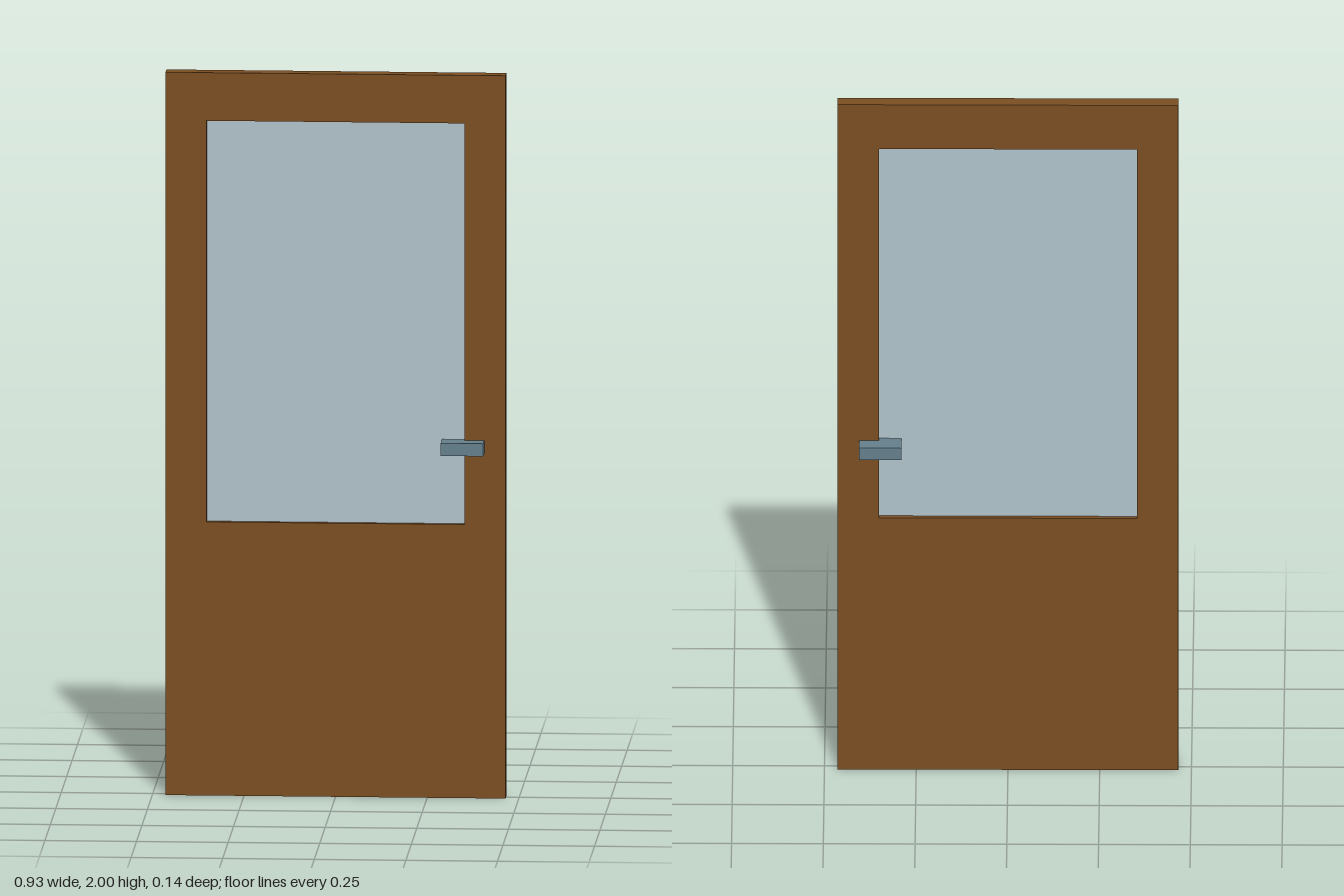
import * as THREE from 'three';

const paint = (name, color) => new THREE.MeshStandardMaterial({ name, color });

// Adds a box given by its lower and upper corners
function addBox(group, name, material, min, max) {
  const size = max.map((v, i) => v - min[i]);
  const mesh = new THREE.Mesh(new THREE.BoxGeometry(...size), material);
  mesh.position.set(...max.map((v, i) => (v + min[i]) / 2));
  mesh.name = name;
  group.add(mesh);
}

// Corner points of a rectangle, counterclockwise
const rect = (x, y0, y1) => [[-x, y0], [x, y0], [x, y1], [-x, y1]].map((p) => new THREE.Vector2(...p));

export function createModel() {
  const door = new THREE.Group();
  door.name = 'door';
  const wood = paint('brown wood', 0x7a4e22);
  const glass = paint('pale blue glass', 0xb0c2ca);
  const metal = paint('grey blue metal', 0x647f8c);

  const width = 0.464, thickness = 0.044;
  const windowX = 0.352, windowBottom = 0.757, windowTop = 1.867;

  // Door leaf with a window opening
  const outline = new THREE.Shape(rect(width, 0, 2));
  outline.holes.push(new THREE.Path(rect(windowX, windowBottom, windowTop).reverse()));
  const leafGeometry = new THREE.ExtrudeGeometry(outline, { depth: thickness, bevelEnabled: false });
  leafGeometry.translate(0, 0, -thickness / 2);
  const leaf = new THREE.Mesh(leafGeometry, wood);
  leaf.name = 'doorLeaf';
  door.add(leaf);

  // Pane set back from both faces
  addBox(door, 'windowPane', glass, [-windowX, windowBottom, -0.008], [windowX, windowTop, 0.008]);

  // Handle block passing through the door
  addBox(door, 'handle', metal, [0.29, 0.955, -0.072], [0.406, 0.99, 0.072]);

  return door;
}
